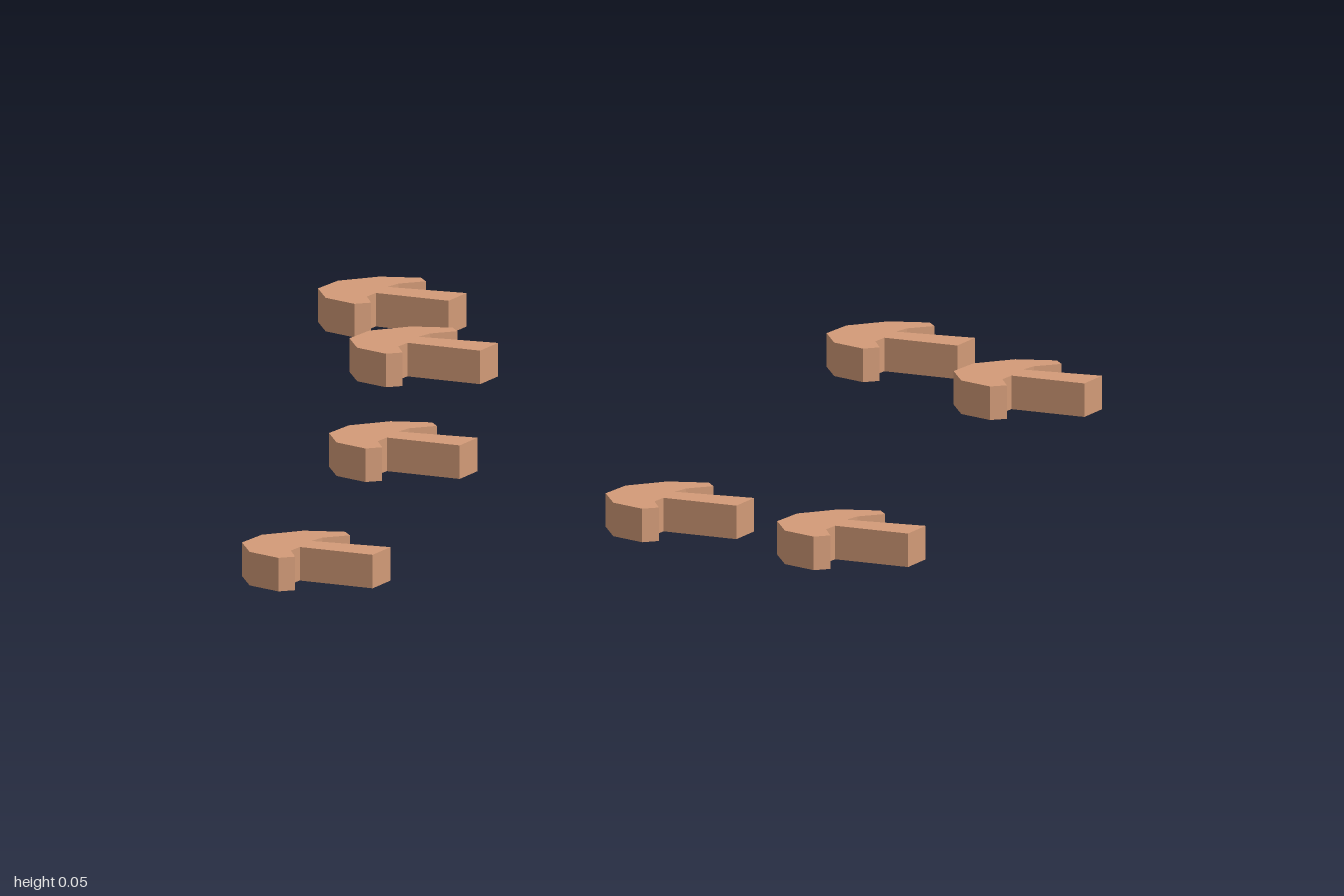
import * as THREE from 'three';

// Outline of one mushroom-shaped piece on the ground: [x, z] from its own corner
const OUTLINE = [
  [0, 0.095], [0.02, 0.037], [0.074, 0], [0.133, 0], [0.143, 0.024],
  [0.107, 0.046], [0.095, 0.071], // cap, upper rim
  [0.211, 0.099], [0.194, 0.157], [0.085, 0.116], // stem
  [0.076, 0.143], [0.088, 0.185], [0.066, 0.197], [0.02, 0.16], // cap, lower rim
];

// Corner [x, z] of each piece
const PLACES = [
  [-0.588, -1], [-0.495, -0.655], [0.163, -0.784], [0.377, -0.542],
  [-0.43, 0.016], [0.014, 0.386], [0.28, 0.549], [-0.443, 0.803],
];

const HEIGHT = 0.048;

export function createModel() {
  const group = new THREE.Group();
  group.name = 'scatteredMushroomPieces';

  // Extrude upward after laying the outline flat
  const shape = new THREE.Shape(OUTLINE.map(([x, z]) => new THREE.Vector2(x, -z)));
  const geometry = new THREE.ExtrudeGeometry(shape, { depth: HEIGHT, bevelEnabled: false });
  geometry.rotateX(-Math.PI / 2);
  const material = new THREE.MeshStandardMaterial({ color: 0xd39b78, flatShading: true });

  PLACES.forEach(([x, z], i) => {
    const piece = new THREE.Mesh(geometry, material);
    piece.name = `mushroomPiece${i + 1}`;
    piece.position.set(x, 0, z);
    group.add(piece);
  });
  return group;
}
